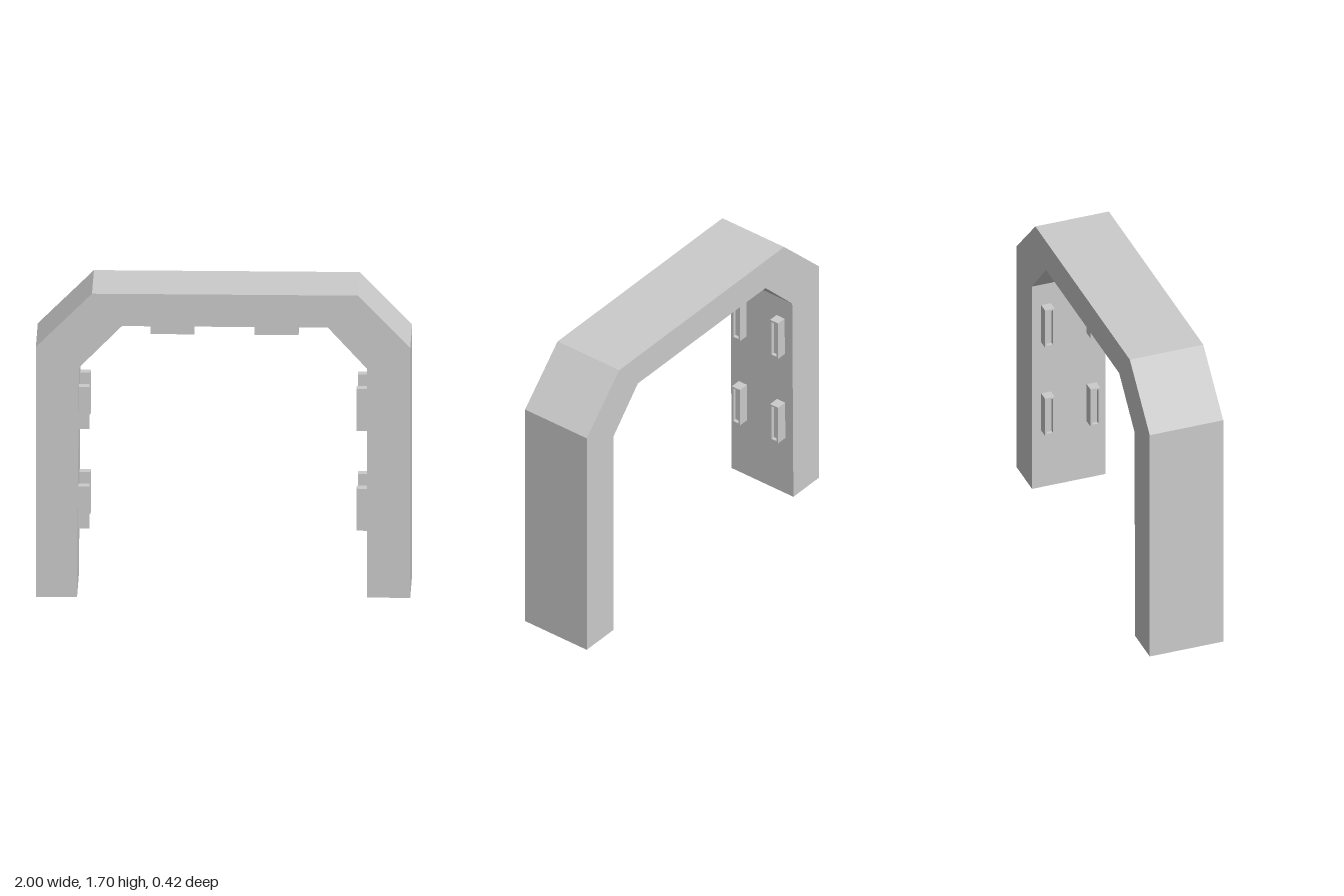
import * as THREE from 'three';

const material = new THREE.MeshStandardMaterial({ color: 0xcccccc, flatShading: true });
const DEPTH = 0.42;

function polygon(points, Type = THREE.Shape) {
  return new Type(points.map(([x, y]) => new THREE.Vector2(x, y)));
}

function rectangle(w, h) {
  return [[-w / 2, -h / 2], [w / 2, -h / 2], [w / 2, h / 2], [-w / 2, h / 2]];
}

// Chamfered arch outline, extruded along z
function createArch() {
  const outline = polygon([
    [-1, 0], [-0.78, 0], [-0.77, 1.285], [-0.54, 1.52], [0.56, 1.52], [0.77, 1.29],
    [0.77, 0.01], [1, 0.01], [1, 1.41], [0.72, 1.7], [-0.7, 1.7], [-1, 1.4],
  ]);
  const geometry = new THREE.ExtrudeGeometry(outline, { depth: DEPTH, bevelEnabled: false });
  geometry.translate(0, 0, -DEPTH / 2);
  const arch = new THREE.Mesh(geometry, material);
  arch.name = 'archFrame';
  return arch;
}

// Small housing hanging down from its mount, with a shallow recess in its face
function createLamp(name) {
  const length = 0.235, width = 0.055, height = 0.07, rim = 0.01;
  const lamp = new THREE.Group();
  lamp.name = name;

  const shape = polygon(rectangle(length, width));
  shape.holes.push(polygon(rectangle(length - 2 * rim, width - 2 * rim).reverse(), THREE.Path));
  const frame = new THREE.ExtrudeGeometry(shape, { depth: height, bevelEnabled: false });
  frame.rotateX(Math.PI / 2);
  const housing = new THREE.Mesh(frame, material);
  housing.name = 'lampHousing';

  const panel = new THREE.BoxGeometry(length - 2 * rim, height - 0.02, width - 2 * rim);
  panel.translate(0, -(height - 0.02) / 2, 0);
  const lens = new THREE.Mesh(panel, material);
  lens.name = 'lampPanel';

  lamp.add(housing, lens);
  return lamp;
}

export function createModel() {
  const group = new THREE.Group();
  group.name = 'archway';
  group.add(createArch());

  // Mount points: x, y and turn about z
  const mounts = [
    ['ceilingLamp', -0.272, 1.53, 0],
    ['ceilingLamp', 0.285, 1.53, 0],
  ];
  for (const y of [0.485, 1.043]) {
    mounts.push(['rightWallLamp', -0.785, y, Math.PI / 2]);
    mounts.push(['leftWallLamp', 0.782, y, -Math.PI / 2]);
  }

  // Each mount carries one lamp near the front and one near the back
  for (const [name, x, y, turn] of mounts) {
    for (const z of [-0.13, 0.13]) {
      const lamp = createLamp(name);
      lamp.position.set(x, y, z);
      lamp.rotation.z = turn;
      group.add(lamp);
    }
  }
  return group;
}
